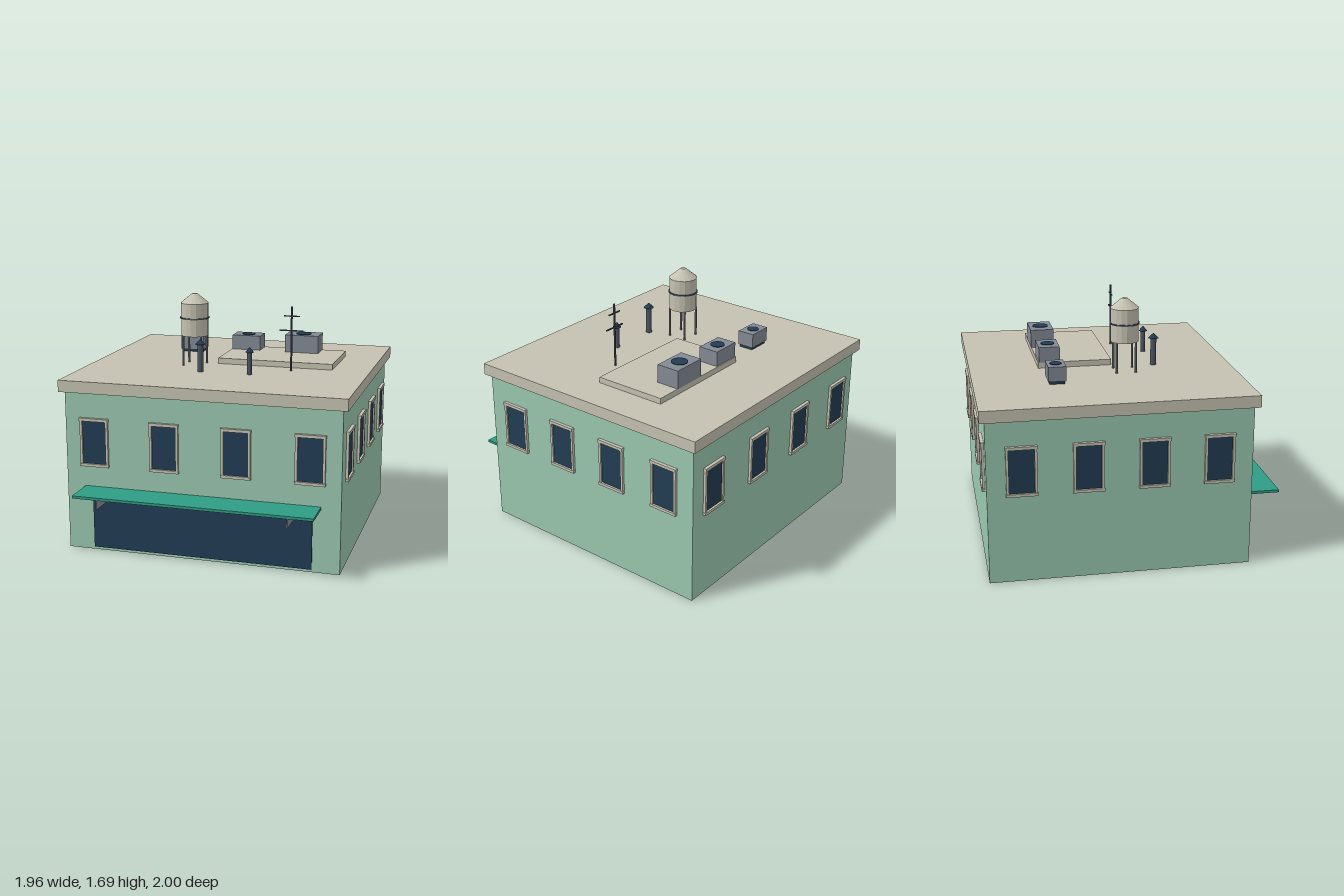
import * as THREE from 'three';

const mat = (name, color, flatShading = false) => {
  const m = new THREE.MeshStandardMaterial({ color, flatShading });
  m.name = name;
  return m;
};

export function createModel() {
  const wall = mat('mint wall', 0x9ac8b0);
  const trim = mat('stone trim', 0xc6c2b2, true);
  const glass = mat('navy glass', 0x223c54, true);
  const teal = mat('teal awning', 0x2f9c84);
  const metal = mat('grey metal', 0x838a95, true);
  const dark = mat('dark metal', 0x4d5663, true);

  const model = new THREE.Group();
  model.name = 'building';

  const add = (name, geo, material, x, y, z, parent = model) => {
    const m = new THREE.Mesh(geo, material);
    m.name = name;
    m.position.set(x, y, z);
    parent.add(m);
    return m;
  };
  // box given by its extents
  const box = (name, material, x0, x1, y0, y1, z0, z1, parent = model) =>
    add(name, new THREE.BoxGeometry(x1 - x0, y1 - y0, z1 - z0), material,
      (x0 + x1) / 2, (y0 + y1) / 2, (z0 + z1) / 2, parent);
  // upright cylinder or cone standing on y0
  const post = (name, material, x, z, y0, y1, r, rTop = r, sides = 12, parent = model) =>
    add(name, new THREE.CylinderGeometry(rTop, r, y1 - y0, sides), material, x, (y0 + y1) / 2, z, parent);

  // Main body and roof
  const W = 0.943, ZC = -0.1, D = 0.866, ROOF = 1.18;
  box('walls', wall, -W, W, 0, 1.1, ZC - D, ZC + D);
  box('roofSlab', trim, -0.978, 0.978, 1.1, ROOF, -1, 0.798);
  box('roofPlatform', trim, -0.11, 0.715, ROOF, 1.22, -0.53, -0.02);

  // Window facing +z with its back on z = 0
  const makeWindow = () => {
    const g = new THREE.Group();
    g.name = 'window';
    box('pane', glass, -0.086, 0.086, 0.61, 0.91, 0, 0.008, g);
    for (const s of [-1, 1])
      add('frameSide', new THREE.BoxGeometry(0.017, 0.3, 0.018), trim, s * 0.091, 0.76, 0.009, g);
    box('lintel', trim, -0.102, 0.102, 0.908, 0.928, 0, 0.022, g);
    box('sill', trim, -0.102, 0.102, 0.594, 0.613, 0, 0.022, g);
    return g;
  };
  const placeWindow = (x, z, turn) => {
    const w = makeWindow();
    w.position.set(x, 0, z);
    w.rotation.y = turn;
    model.add(w);
  };
  for (const k of [-1.5, -0.5, 0.5, 1.5]) {
    placeWindow(k * 0.492, ZC + D, 0);
    placeWindow(k * 0.492, ZC - D, Math.PI);
    placeWindow(W, ZC + k * 0.428, Math.PI / 2);
    placeWindow(-W, ZC + k * 0.428, -Math.PI / 2);
  }

  // Shop front and awning
  box('shopWindow', glass, -0.758, 0.758, 0.02, 0.4, 0.766, 0.775);
  box('awning', teal, -0.813, 0.813, 0.434, 0.452, 0.766, 1);
  for (const s of [-1, 1])
    box('awningBracket', metal, s * 0.643 - 0.004, s * 0.643 + 0.004, 0.37, 0.434, 0.766, 0.998);

  // Air conditioners with round fans
  const units = [
    { x: -0.422, w: 0.175, d: 0.12, y0: 1.2, y1: 1.3, r: 0.04 },
    { x: 0, w: 0.21, d: 0.145, y0: 1.22, y1: 1.325, r: 0.048 },
    { x: 0.418, w: 0.245, d: 0.165, y0: 1.22, y1: 1.347, r: 0.056 },
  ];
  for (const u of units) {
    box('airConditioner', metal, u.x - u.w / 2, u.x + u.w / 2, u.y0, u.y1, -0.45 - u.d / 2, -0.45 + u.d / 2);
    post('fan', glass, u.x, -0.45, u.y1, u.y1 + 0.004, u.r, u.r, 16);
  }
  box('unitBase', glass, -0.5, -0.344, ROOF, 1.2, -0.5, -0.4);

  // Water tank on four legs
  const tank = new THREE.Group();
  tank.name = 'waterTank';
  tank.position.set(-0.26, 0, 0.045);
  model.add(tank);
  post('tankBody', trim, 0, 0, 1.39, 1.62, 0.096, 0.096, 16, tank);
  post('tankRoof', trim, 0, 0, 1.62, 1.686, 0.098, 0.018, 16, tank);
  post('tankBand', dark, 0, 0, 1.511, 1.52, 0.104, 0.104, 16, tank);
  for (const sx of [-1, 1])
    for (const sz of [-1, 1])
      post('tankLeg', metal, sx * 0.066, sz * 0.066, ROOF, 1.392, 0.008, 0.008, 8, tank);

  // Vent pipes with conical caps
  for (const [x, top, r] of [[-0.15, 1.37, 0.021], [0.2, 1.333, 0.017]]) {
    post('ventPipe', dark, x, 0.27, ROOF, top, r);
    post('ventCap', glass, x, 0.27, top, top + 0.032, r * 1.75, 0.004);
  }

  // Antenna
  post('antennaMast', dark, 0.445, 0.077, ROOF, 1.625, 0.007, 0.007, 8);
  for (const [y, len] of [[1.56, 0.11], [1.46, 0.165]])
    add('antennaBar', new THREE.BoxGeometry(len, 0.008, 0.008), dark, 0.445, y, 0.077);

  return model;
}
